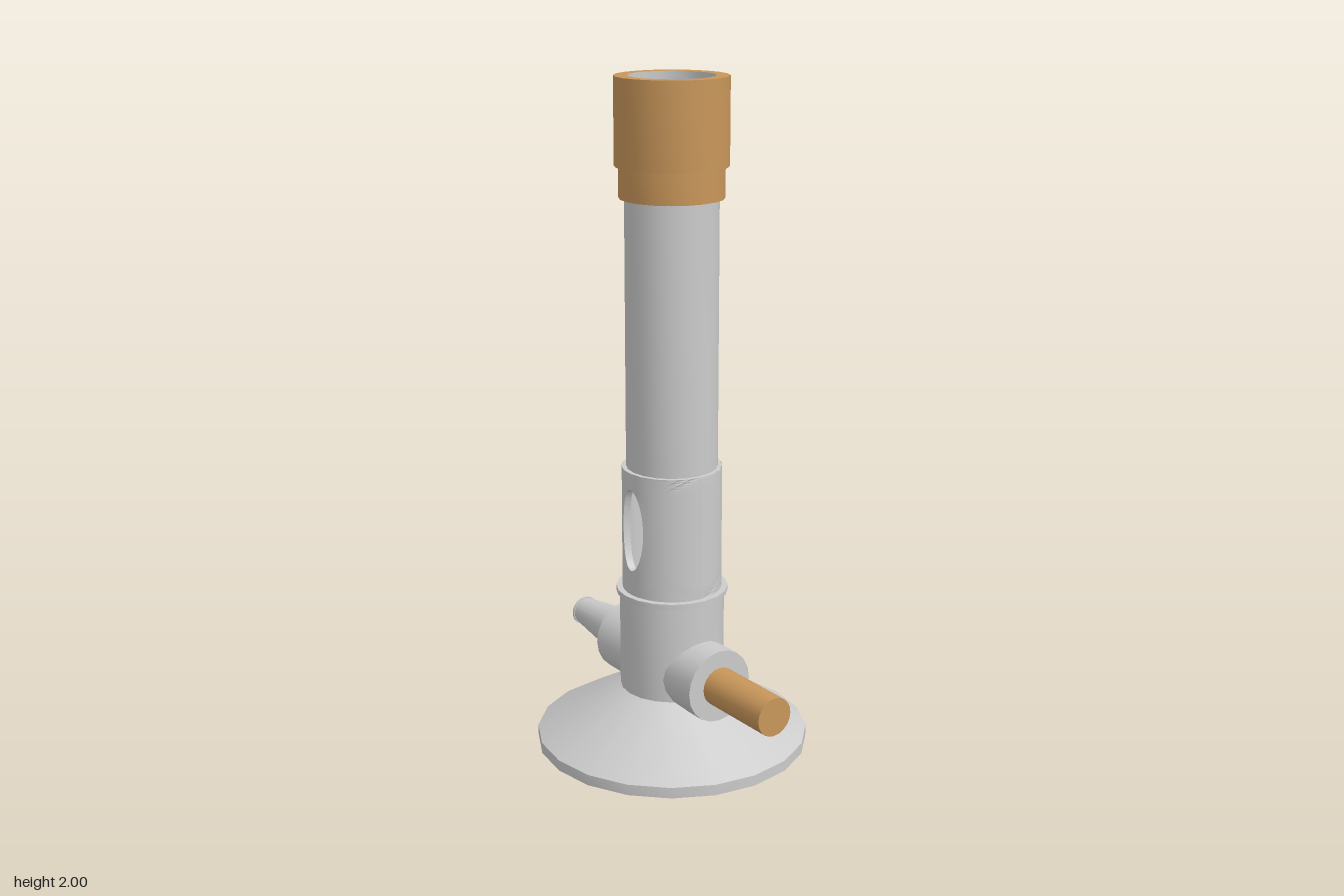
import * as THREE from 'three';
import { toCreasedNormals } from 'three/addons/utils/BufferGeometryUtils.js';

const SIDES = 20;
const steel = new THREE.MeshStandardMaterial({ color: 0xcccccc });
const brass = new THREE.MeshStandardMaterial({ color: 0xc8965a });

// Turned part from [radius, height] pairs, with sharp edges kept
function turned(name, profile, material) {
  const points = profile.map(([r, y]) => new THREE.Vector2(r, y));
  const geometry = toCreasedNormals(new THREE.LatheGeometry(points, SIDES), 0.5);
  const mesh = new THREE.Mesh(geometry, material);
  mesh.name = name;
  return mesh;
}

// Grid surface: point(i, j) over rows and columns
function gridSurface(rows, cols, point, flip) {
  const positions = [], indices = [];
  for (let j = 0; j <= rows; j++)
    for (let i = 0; i <= cols; i++) positions.push(...point(i, j));
  for (let j = 0; j < rows; j++)
    for (let i = 0; i < cols; i++) {
      const a = j * (cols + 1) + i, b = a + 1, c = a + cols + 1, d = c + 1;
      if (flip) indices.push(a, b, c, b, d, c);
      else indices.push(a, c, b, b, c, d);
    }
  const geometry = new THREE.BufferGeometry();
  geometry.setAttribute('position', new THREE.Float32BufferAttribute(positions, 3));
  geometry.setIndex(indices);
  return toCreasedNormals(geometry, 0.5);
}

// Collar: a pipe wall with an oval air hole on each side
function airCollar(rOut, rIn, y0, y1) {
  const group = new THREE.Group();
  group.name = 'airCollar';
  const N = 64, ROWS = 10, holeZ = 0.05, holeY = 0.125, holeMid = 0.695;
  const mid = (y0 + y1) / 2, half = (y1 - y0) / 2;
  const wallPoint = (r) => (i, j) => {
    const t = (i / N) * Math.PI * 2, c = Math.cos(t), s = Math.sin(t);
    const m = Math.max(Math.abs(c), Math.abs(s)), k = j / ROWS;
    // from the oval edge outwards to the edge of the half pipe
    const angle = THREE.MathUtils.lerp(Math.asin((holeZ * c) / r), (c / m) * Math.PI / 2, k);
    const y = THREE.MathUtils.lerp(holeMid + holeY * s, mid + (s / m) * half, k);
    return [r * Math.cos(angle), y, -r * Math.sin(angle)];
  };
  const outer = wallPoint(rOut), inner = wallPoint(rIn);
  const parts = {
    collarOutside: gridSurface(ROWS, N, outer, true),
    collarInside: gridSurface(ROWS, N, inner, false),
    airHoleRim: gridSurface(1, N, (i, j) => (j ? outer : inner)(i, 0), true),
  };
  const material = steel.clone();
  material.side = THREE.DoubleSide;
  for (const [name, geometry] of Object.entries(parts))
    for (const turn of [0, Math.PI]) {
      const mesh = new THREE.Mesh(geometry, material);
      mesh.name = name;
      mesh.rotation.y = turn;
      group.add(mesh);
    }
  return group;
}

export function createModel() {
  const model = new THREE.Group();
  model.name = 'gasBurner';

  // Upright parts
  const column = new THREE.Group();
  column.name = 'column';
  column.position.z = -0.005;
  column.add(
    turned('base', [[0, 0], [0.41, 0], [0.41, 0.033], [0.156, 0.18], [0, 0.18]], steel),
    turned('body', [[0.156, 0.17], [0.156, 0.48], [0.167, 0.48], [0.167, 0.495], [0, 0.495]], steel),
    airCollar(0.148, 0.125, 0.495, 0.87),
    turned('barrel', [[0.148, 0.87], [0.135, 0.87], [0.135, 1.67]], steel),
    turned('barrelBore', [[0.125, 2], [0.125, 0.87]], steel),
    turned('cap', [[0.135, 1.66], [0.151, 1.66], [0.151, 1.75], [0.163, 1.75], [0.163, 2], [0.125, 2]], brass),
  );
  model.add(column);

  // Gas valve, lying along z
  const valve = new THREE.Group();
  valve.name = 'valve';
  valve.position.y = 0.25;
  valve.rotation.x = Math.PI / 2;
  valve.add(
    turned('valveBody', [[0, -0.25], [0.11, -0.25], [0.11, 0.233], [0, 0.233]], steel),
    turned('knob', [[0.058, 0.23], [0.058, 0.49], [0, 0.49]], brass),
    turned('hoseNozzle', [[0, -0.49], [0.046, -0.49], [0.046, -0.482], [0.043, -0.482], [0.075, -0.248]], steel),
  );
  model.add(valve);
  return model;
}
